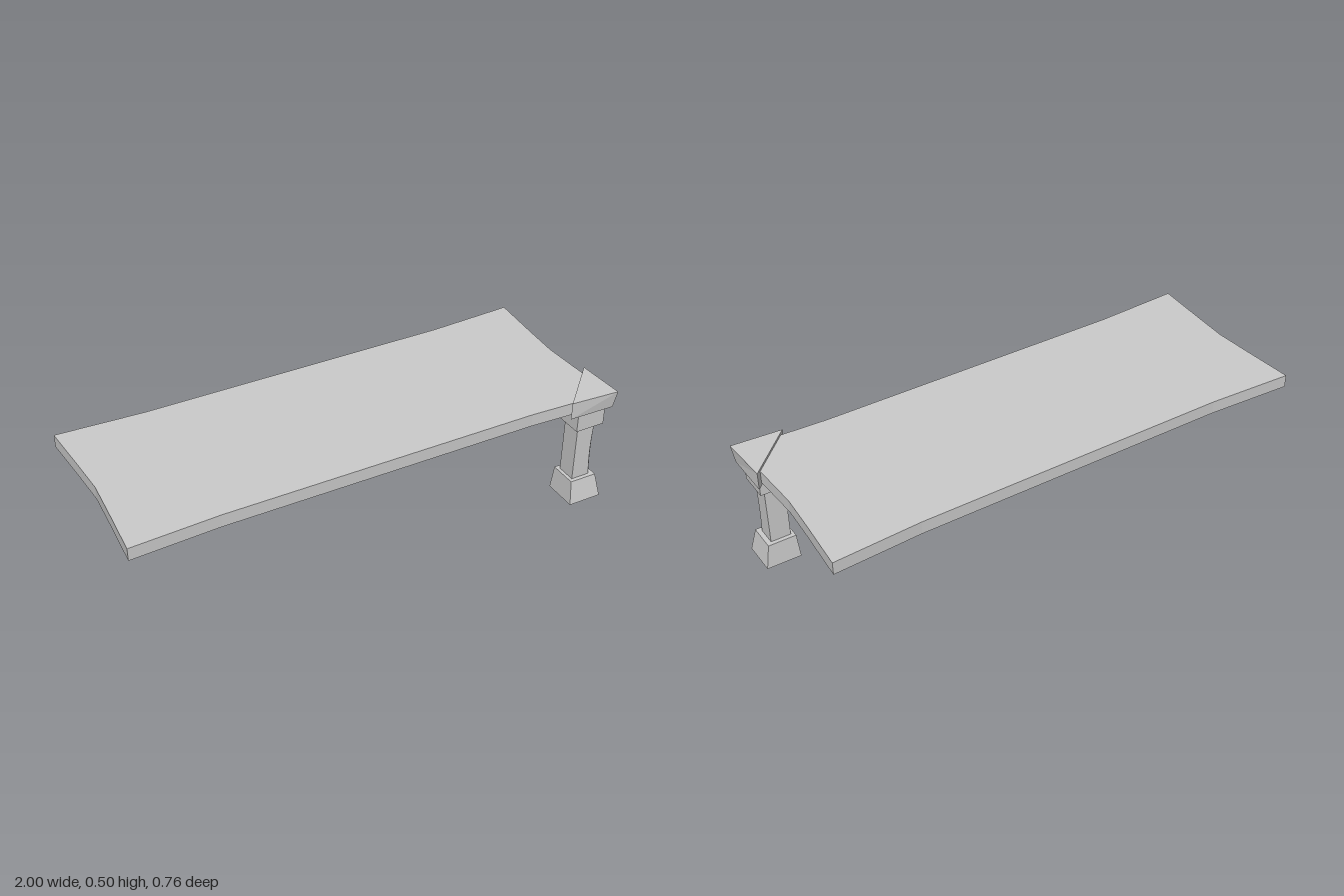
import * as THREE from 'three';

// Joins horizontal rings of [x, z] corners (counter-clockwise from above) at given heights.
function loft(name, rings, openBottom = false) {
  const pos = [];
  const put = (ring, i) => {
    const [x, z] = ring.pts[i % ring.pts.length];
    pos.push(x, ring.y, z);
  };
  for (let r = 0; r + 1 < rings.length; r++) {
    const a = rings[r], b = rings[r + 1];
    for (let i = 0; i < a.pts.length; i++) {
      put(a, i); put(a, i + 1); put(b, i + 1);
      put(a, i); put(b, i + 1); put(b, i);
    }
  }
  const cap = (ring, up) => {
    const flat = ring.pts.map(([x, z]) => new THREE.Vector2(x, -z));
    for (const [i, j, k] of THREE.ShapeUtils.triangulateShape(flat, [])) {
      for (const n of up ? [i, j, k] : [i, k, j]) put(ring, n);
    }
  };
  cap(rings[rings.length - 1], true);
  if (!openBottom) cap(rings[0], false);
  const geo = new THREE.BufferGeometry();
  geo.setAttribute('position', new THREE.Float32BufferAttribute(pos, 3));
  geo.computeVertexNormals();
  const mesh = new THREE.Mesh(geo, new THREE.MeshStandardMaterial({
    color: 0xcccccc, flatShading: true,
    side: openBottom ? THREE.DoubleSide : THREE.FrontSide,
  }));
  mesh.name = name;
  return mesh;
}

const rect = (x0, x1, z0, z1) => [[x0, z1], [x1, z1], [x1, z0], [x0, z0]];

export function createModel() {
  const group = new THREE.Group();
  group.name = 'table';

  // Table top with flared corners and hollowed ends
  const outline = [
    [-1, 0.36], [-0.65, 0.343], [0.63, 0.343], [0.98, 0.36],
    [0.965, 0.14], [0.957, -0.01], [0.965, -0.16], [0.98, -0.38],
    [0.63, -0.362], [-0.65, -0.362], [-1, -0.38],
    [-0.985, -0.16], [-0.976, -0.01], [-0.985, 0.14],
  ];
  group.add(loft('tableTop', [{ y: 0.435, pts: outline }, { y: 0.487, pts: outline }]));

  // Triangular corner plate, its outer corner leaning outwards
  const plate = (x, z) => [[0.797, 0.366], [x, z], [0.988, 0.175]];
  group.add(loft('cornerPlate', [
    { y: 0.425, pts: plate(0.99, 0.37) },
    { y: 0.497, pts: plate(1, 0.38) },
  ]));

  // Leg: block, shaft with a hollowed outer edge, flared foot
  const leg = new THREE.Group();
  leg.name = 'leg';
  const block = rect(0.84, 0.965, 0.233, 0.357);
  leg.add(loft('legBlock', [{ y: 0.347, pts: block }, { y: 0.425, pts: block }]));

  const shaft = [];
  for (let i = 0; i <= 8; i++) {
    const t = i / 8, c = 0.003 + 0.006 * Math.sin(Math.PI * t);
    shaft.push({
      y: 0.1 + 0.247 * t,
      pts: [[0.86, 0.337], [0.942 - c, 0.337], [0.942, 0.337 - c], [0.942, 0.255], [0.86, 0.255]],
    });
  }
  leg.add(loft('legShaft', shaft));

  leg.add(loft('legFoot', [
    { y: 0, pts: rect(0.838, 0.98, 0.23, 0.372) },
    { y: 0.1, pts: rect(0.846, 0.961, 0.238, 0.353) },
  ], true));
  group.add(leg);

  return group;
}
